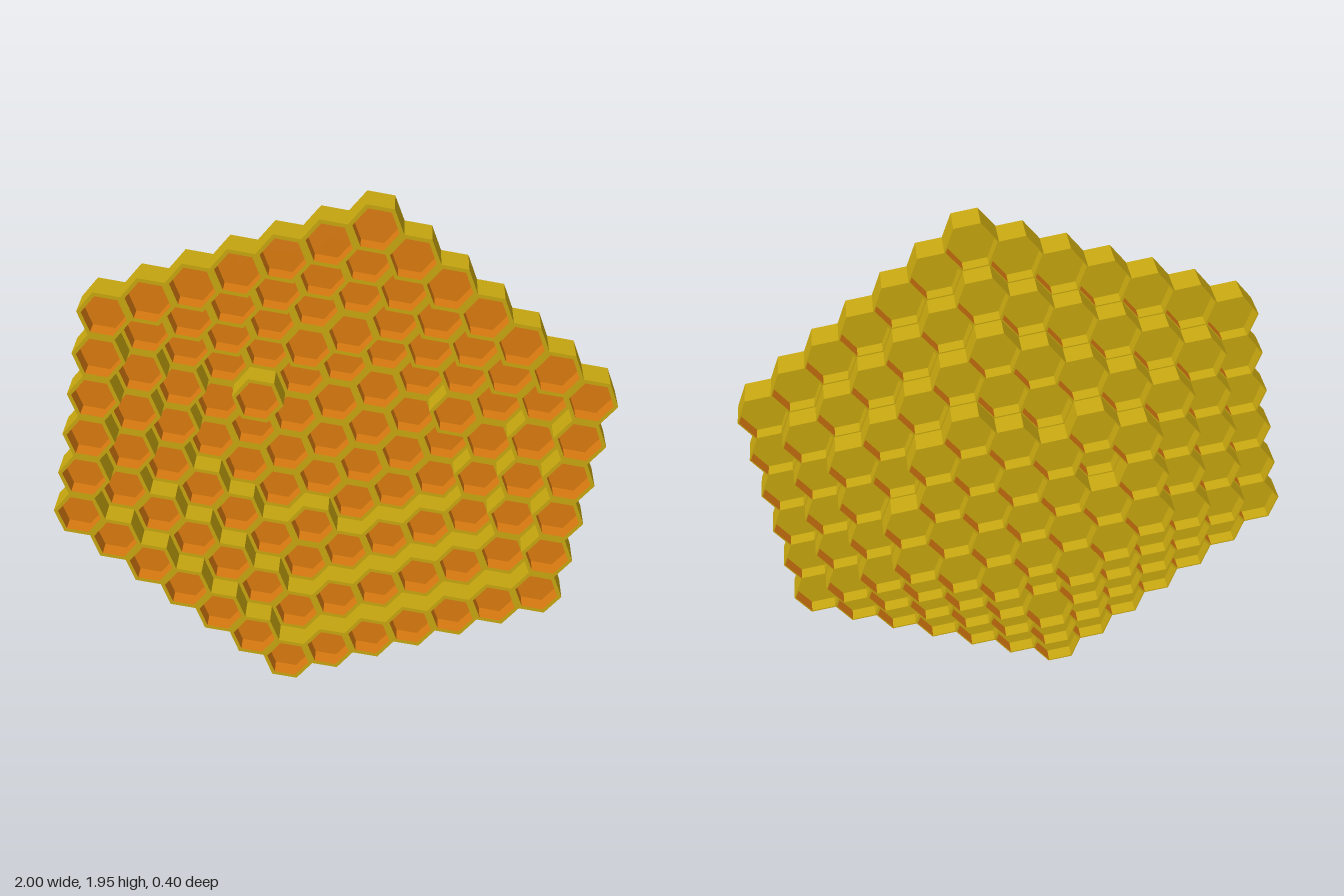
import * as THREE from 'three';

const PITCH = 0.1634;              // distance between neighbouring cells
const RADIUS = PITCH / Math.sqrt(3);
const TILT = THREE.MathUtils.degToRad(20);
const DEPTH = 0.12, STEP = 0.0933; // cell length and terrace step

// Flat-shaded six-sided surface swept through [radius, z] points.
function hexSweep(profile, sides = [0, 1, 2, 3, 4, 5]) {
  const pos = [];
  const corner = (k, [r, z]) => {
    const a = TILT + Math.PI / 6 + k * Math.PI / 3;
    return [r * Math.cos(a), r * Math.sin(a), z];
  };
  for (let i = 0; i < profile.length - 1; i++) {
    const p = profile[i], q = profile[i + 1];
    for (const k of sides) {
      const a = corner(k, p), b = corner(k + 1, p), c = corner(k + 1, q), d = corner(k, q);
      if (q[0] > 0) pos.push(...a, ...d, ...c);
      if (p[0] > 0) pos.push(...a, ...c, ...b);
    }
  }
  const g = new THREE.BufferGeometry();
  g.setAttribute('position', new THREE.Float32BufferAttribute(pos, 3));
  g.computeVertexNormals();
  return g;
}

export function createModel() {
  const wax = new THREE.MeshStandardMaterial({ color: 0xc9a810 });
  wax.name = 'wax yellow';
  const honey = new THREE.MeshStandardMaterial({ color: 0xdd7c10 });
  honey.name = 'honey orange';

  const inner = 0.079, rear = RADIUS - 0.005;
  const front = DEPTH, frontFloor = 0.06, rearFloor = 0.055;

  // Parts shared by all cells; z runs from 0 (rear) to DEPTH (front)
  const parts = [
    ['cellWall', hexSweep([[inner, front], [RADIUS, front], [RADIUS, 0], [rear, 0]]), wax],
    ['honeyPocket', hexSweep([[0, frontFloor], [inner, frontFloor], [inner, front]]), honey],
    ['rearFloor', hexSweep([[rear, rearFloor], [0, rearFloor]]), wax],
    ['rearPocketWalls', hexSweep([[rear, 0], [rear, rearFloor]], [0, 2, 3, 5]), wax],
    ['rearPocketStripes', hexSweep([[rear, 0], [rear, rearFloor]], [1, 4]), honey],
  ];

  // Inner cells standing one terrace forward of the floor of the bowl
  const raised = new Set(['-1,2.5', '0,2.5', '0,-2.5', '3,-0.5', '-2,1.5']);

  const comb = new THREE.Group();
  comb.name = 'honeycomb';
  for (let b = -5.5; b <= 5.5; b++) {
    for (let a = -6; a <= 6; a++) {
      // Rings counted inwards from the rim set the terrace
      const ring = Math.min(6 - Math.abs(a), 5.5 - Math.abs(b), 5.5 - Math.abs(a + b));
      if (ring < 0) continue;
      const layer = raised.has(`${a},${b}`) ? 2 : Math.min(ring, 3);
      const cell = new THREE.Group();
      cell.name = 'cell';
      cell.position.set(
        PITCH * (a * Math.cos(TILT) + b * Math.cos(TILT + Math.PI / 3)),
        0.974 + PITCH * (a * Math.sin(TILT) + b * Math.sin(TILT + Math.PI / 3)),
        0.2 - DEPTH - layer * STEP
      );
      for (const [name, geometry, material] of parts) {
        const mesh = new THREE.Mesh(geometry, material);
        mesh.name = name;
        cell.add(mesh);
      }
      comb.add(cell);
    }
  }
  return comb;
}
